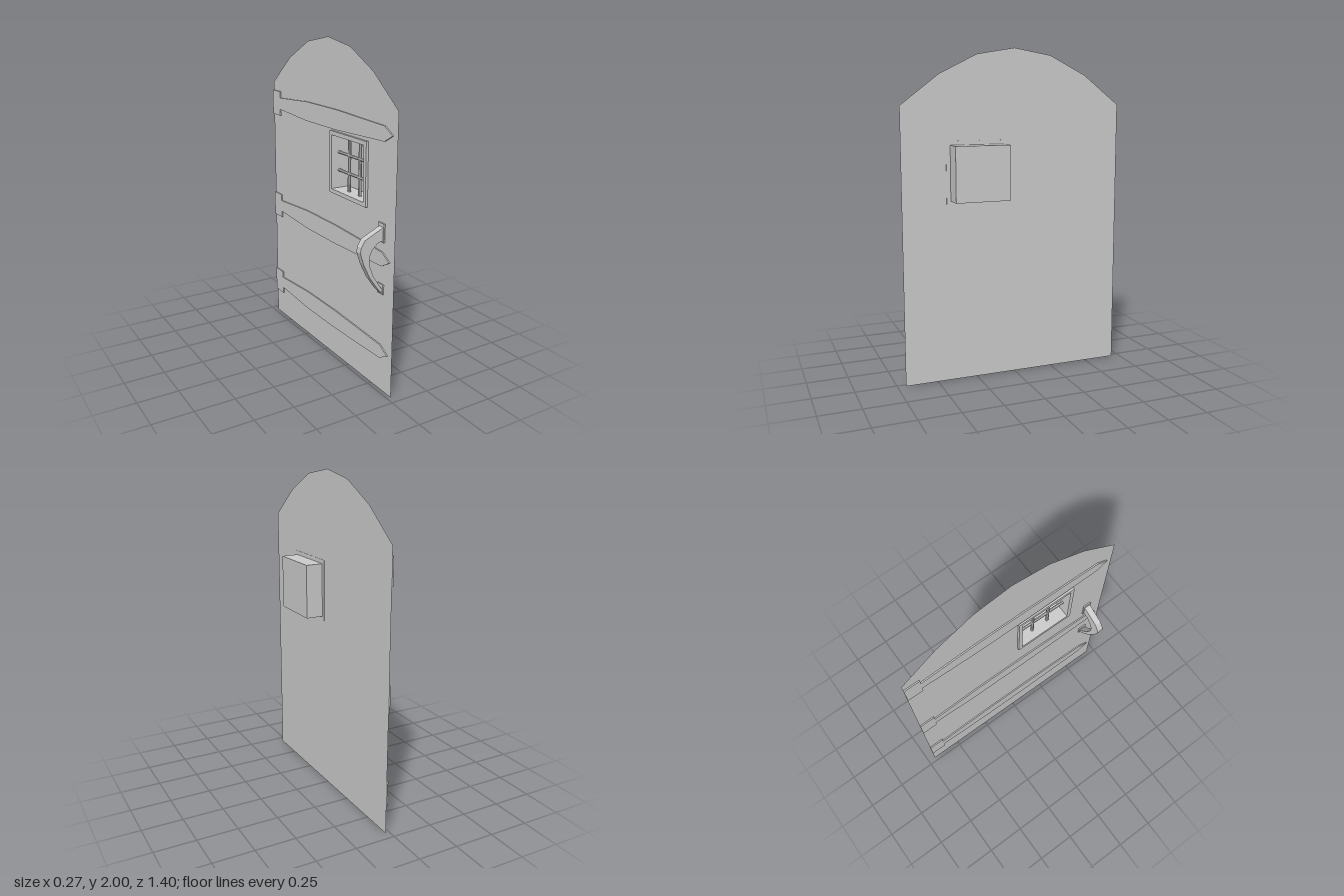
import * as THREE from 'three';

const material = new THREE.MeshStandardMaterial({ color: 0xcccccc, side: THREE.DoubleSide, flatShading: true });
const DOOR_X = 0.025; // plane of the door leaf

function mesh(name, geometry) {
  const m = new THREE.Mesh(geometry, material);
  m.name = name;
  return m;
}

const shapeOf = (points) => new THREE.Shape(points.map(([a, b]) => new THREE.Vector2(a, b)));

function rectPoints(z0, z1, y0, y1) {
  return [[z0, y0], [z1, y0], [z1, y1], [z0, y1]];
}

// Extrudes a (z, y) outline across the door thickness, from x0 to x1
function slab(name, shape, x0, x1) {
  const g = new THREE.ExtrudeGeometry(shape, { depth: x1 - x0, bevelEnabled: false });
  g.rotateY(-Math.PI / 2);
  g.translate(x1, 0, 0);
  return mesh(name, g);
}

export function createModel() {
  const model = new THREE.Group();
  model.name = 'archedDoor';

  // Window opening
  const win = { z0: 0.065, z1: 0.405, y0: 1.105, y1: 1.435 };
  const opening = shapeOf(rectPoints(win.z0, win.z1, win.y0, win.y1));

  // Door leaf: a thin sheet with a faceted arch and the window cut out
  const leaf = shapeOf([
    [-0.7, 0], [0.7, 0], [0.7, 1.665], [0.466, 1.845], [0.235, 1.96],
    [0, 2], [-0.235, 1.96], [-0.466, 1.845], [-0.7, 1.665],
  ]);
  leaf.holes.push(opening);
  const leafGeometry = new THREE.ShapeGeometry(leaf);
  leafGeometry.rotateY(-Math.PI / 2);
  leafGeometry.translate(DOOR_X, 0, 0);
  model.add(mesh('doorLeaf', leafGeometry));

  // Window frame
  const frame = shapeOf(rectPoints(0.04, 0.43, 1.08, 1.46));
  frame.holes.push(opening);
  model.add(slab('windowFrame', frame, 0.01, DOOR_X + 0.002));

  // Recess behind the window: a box open towards -x
  const depth = 0.133 - DOOR_X;
  const w = win.z1 - win.z0, h = win.y1 - win.y0;
  const cz = (win.z0 + win.z1) / 2, cy = (win.y0 + win.y1) / 2;
  const recess = new THREE.BoxGeometry(depth, h, w);
  const index = Array.from(recess.index.array);
  index.splice(6, 6);
  recess.setIndex(index);
  recess.clearGroups();
  recess.translate(DOOR_X + depth / 2, cy, cz);
  model.add(mesh('windowRecess', recess));

  // Window bars, two each way
  const bars = new THREE.Group();
  bars.name = 'windowBars';
  for (const t of [1 / 3, 2 / 3]) {
    const upright = mesh('uprightBar', new THREE.CylinderGeometry(0.01, 0.01, h, 8));
    upright.position.set(0.065, cy, win.z0 + t * w);
    const cross = mesh('crossBar', new THREE.CylinderGeometry(0.01, 0.01, w, 8));
    cross.rotation.x = Math.PI / 2;
    cross.position.set(0.065, win.y0 + t * h, cz);
    bars.add(upright, cross);
  }
  model.add(bars);

  // Hinge straps: square bracket, bulging band, pointed tip
  const half = [[-0.7, 0.08], [-0.6, 0.08], [-0.6, 0.038], [-0.25, 0.06], [0.1, 0.06], [0.59, 0.042]];
  const strapOutline = [
    ...half.map(([z, y]) => [z, -y]), [0.663, 0], ...half.slice().reverse(),
  ];
  for (const y of [0.25, 0.82, 1.53]) {
    const strap = slab('hingeStrap', shapeOf(strapOutline), 0.016, DOOR_X - 0.001);
    strap.position.y = y;
    model.add(strap);
  }

  // Handle: curved pull with a mounting plate at each end
  const handle = new THREE.Group();
  handle.name = 'handle';
  const pull = shapeOf([
    [0.018, 1.01], [-0.103, 0.955], [-0.128, 0.915], [-0.133, 0.885], [-0.108, 0.81],
    [-0.066, 0.725], [-0.013, 0.65], [0.02, 0.612], [0.02, 0.64], [0.003, 0.66],
    [-0.045, 0.735], [-0.07, 0.8], [-0.074, 0.85], [-0.055, 0.89], [-0.018, 0.925], [0.018, 0.932],
  ]);
  const pullGeometry = new THREE.ExtrudeGeometry(pull, { depth: 0.04, bevelEnabled: false });
  pullGeometry.translate(0, 0, 0.56);
  handle.add(mesh('pull', pullGeometry));
  for (const [y0, y1] of [[0.92, 1.03], [0.61, 0.67]]) {
    handle.add(slab('mountPlate', shapeOf(rectPoints(0.553, 0.607, y0, y1)), 0.016, DOOR_X - 0.001));
  }
  model.add(handle);

  return model;
}
